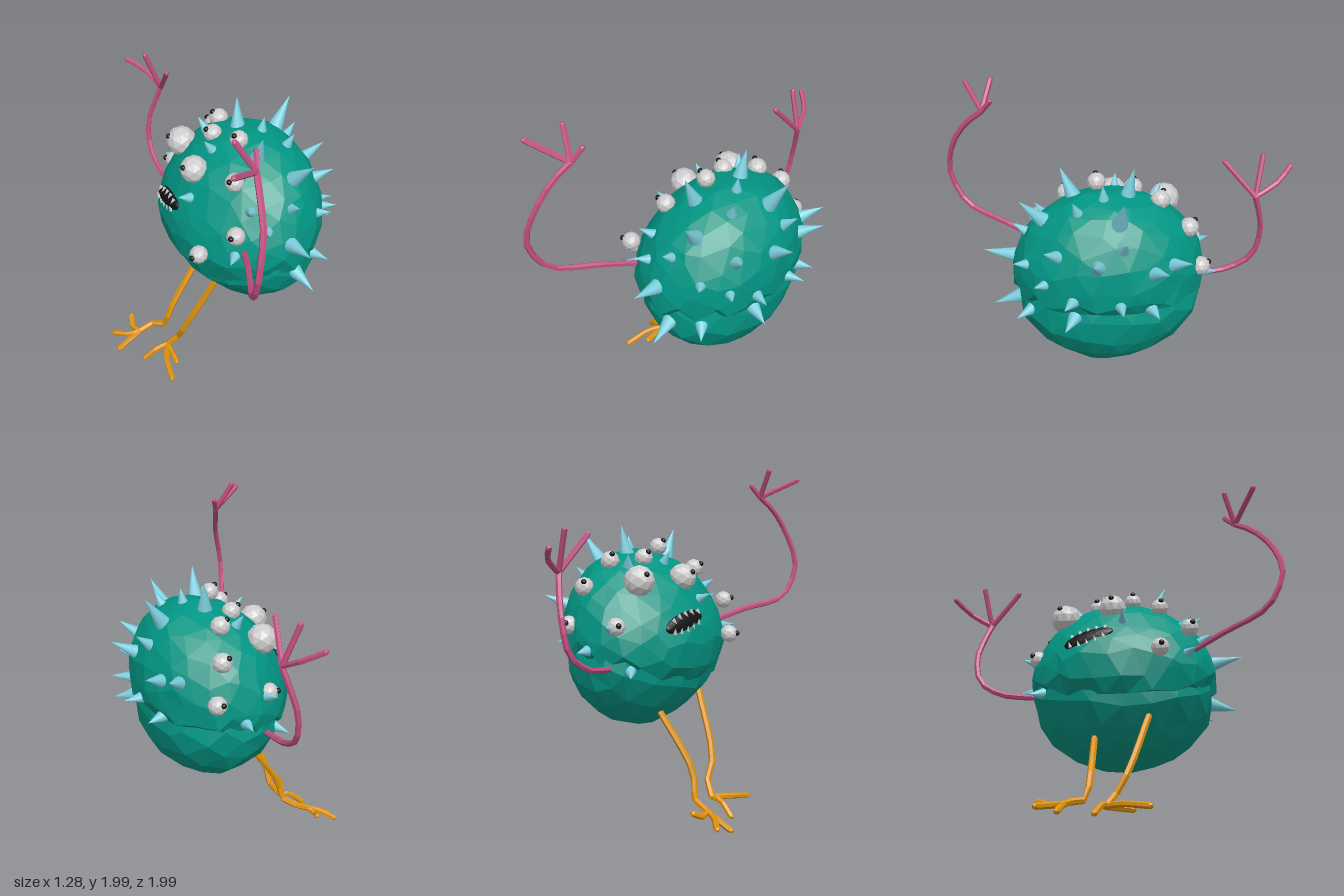
import * as THREE from 'three';

const V = (a) => new THREE.Vector3(...a);
const material = (color, flatShading = true) => new THREE.MeshStandardMaterial({ color, flatShading });
const teal = material(0x029684), blue = material(0x7ccfde, false), pink = material(0xc25080);
const orange = material(0xdd920c), grey = material(0xc4c4c4), black = material(0x151515);

// Body: an ellipsoid that leans to +x above and slightly below its middle
const centre = V([0.09, 1.0, 0.045]), radii = V([0.435, 0.515, 0.545]);
const lean = (y) => (y > 1 ? 0.15 * (y - 1) : 0.08 * (1 - y));
function unitAt(p) {
  const q = p.clone();
  q.x -= lean(q.y);
  return q.sub(centre).divide(radii).normalize();
}
function surfaceAt(p) {
  const q = unitAt(p).multiply(radii).add(centre);
  q.x += lean(q.y);
  return q;
}
function normalAt(p) {
  return unitAt(p).divide(radii).normalize();
}
function hash(v) {
  const s = Math.sin(Math.round(v.x * 99) * 12.99 + Math.round(v.y * 99) * 78.23 + Math.round(v.z * 99) * 37.72) * 43758.55;
  return s - Math.floor(s);
}

function add(parent, name, geometry, mat) {
  const mesh = new THREE.Mesh(geometry, mat);
  mesh.name = name;
  parent.add(mesh);
  return mesh;
}
function group(parent, name) {
  const g = new THREE.Group();
  g.name = name;
  parent.add(g);
  return g;
}
function cone(parent, name, base, tip, radius, sides, mat) {
  const d = tip.clone().sub(base), len = d.length();
  const geo = new THREE.ConeGeometry(radius, len, sides).translate(0, len / 2, 0);
  const mesh = add(parent, name, geo, mat);
  mesh.position.copy(base);
  mesh.quaternion.setFromUnitVectors(new THREE.Vector3(0, 1, 0), d.normalize());
}
// Bent rod with rounded ends
function rod(parent, name, points, radius, mat) {
  const pts = points.map(V);
  const curve = new THREE.CatmullRomCurve3(pts, false, 'centripetal');
  add(parent, name, new THREE.TubeGeometry(curve, (pts.length - 1) * 2, radius, 6), mat);
  for (const p of [pts[0], pts[pts.length - 1]]) {
    add(parent, name + 'End', new THREE.IcosahedronGeometry(radius, 0), mat).position.copy(p);
  }
}
// Limb ending in several digits
function limb(parent, name, path, digits, radius, mat) {
  const g = group(parent, name);
  rod(g, name + 'Stem', path, radius, mat);
  digits.forEach((d) => rod(g, name + 'Digit', [path[path.length - 1], ...d], radius * 0.9, mat));
}

// Icosphere with uneven facets, shaped by a rule that gets (point, height over the crease, side weight)
function bodyPart(parent, name, detail, rule) {
  const geo = new THREE.IcosahedronGeometry(1, detail), pos = geo.attributes.position;
  const u = new THREE.Vector3();
  for (let i = 0; i < pos.count; i++) {
    u.fromBufferAttribute(pos, i);
    const h = hash(u);
    u.add(V([Math.sin(h * 40), Math.sin(h * 57 + 1), Math.sin(h * 73 + 2)]).multiplyScalar(0.05)).normalize();
    const p = u.clone().multiply(radii).multiplyScalar(0.997 + 0.025 * h);
    const crease = -0.07 + 0.2 * (p.x - 0.36) + 0.06 * Math.abs(p.z);
    rule(p, p.y - crease, THREE.MathUtils.smoothstep(u.x, -0.6, 0.1));
    p.add(centre);
    pos.setXYZ(i, p.x + lean(p.y), p.y, p.z);
  }
  geo.computeVertexNormals();
  add(parent, name, geo, teal);
}

function makeBody(parent) {
  const g = group(parent, 'body');
  // upper half, whose underside closes along the crease
  bodyPart(g, 'upperBody', 4, (p, d) => {
    if (d < 0) {
      p.multiplyScalar(Math.max(0.1, 1 + 2 * d));
      p.y -= d * 0.55;
    }
  });
  // lower half, narrower and tucked in under the crease
  bodyPart(g, 'lowerBody', 3, (p, d, side) => {
    const near = THREE.MathUtils.smoothstep(d, -0.15, 0.02);
    const above = THREE.MathUtils.smoothstep(d, 0, 0.1);
    p.multiplyScalar(1.01 - 0.045 * near * side - 0.07 * above);
    p.x *= 0.95;
    p.z *= 1.015;
  });
}

// Spikes, listed by tip in three short batches
const spikeTips = [
  [
    [0.06, 1.13, 0.755], [0.14, 0.82, 0.71], [0.06, 1.63, 0.31], [0.17, 1.66, -0.09],
    [0.235, 1.51, 0.53], [0.49, 1.6, -0.02], [0.635, 1.32, 0.14], [0.63, 1.02, -0.01],
    [0.585, 0.9, 0.3], [0.51, 1.26, -0.38],
  ],
  [
    [0.59, 1.24, -0.25], [0.34, 0.85, 0.57], [0.32, 1.18, 0.54], [0.12, 1.3, 0.55],
    [-0.05, 1.2, 0.54], [-0.25, 1.05, 0.5], [0.49, 1.33, 0.4], [0.55, 1.4, -0.03],
    [0.59, 1.04, 0.3], [0.12, 0.98, -0.58], [0.53, 0.96, -0.2], [0.48, 1.12, 0.46],
  ],
  [
    [0.03, 1.5, -0.25], [-0.08, 1.5, 0], [-0.3, 1.27, 0.08], [-0.1, 1.3, 0.44],
    [0.24, 1.57, 0.08], [-0.1, 0.88, -0.38], [-0.03, 1.12, -0.52], [0.32, 1.52, 0.24],
  ],
];

// Eyes: position and radius
const eyeList = [
  [-0.085, 1.36, -0.28, 0.088], [-0.185, 1.365, 0.01, 0.08], [-0.045, 1.12, -0.445, 0.052],
  [0.21, 1.32, -0.39, 0.056], [0.27, 1.11, -0.455, 0.054], [0.145, 1.46, -0.235, 0.056],
  [0.01, 1.475, -0.095, 0.054], [0.045, 1.53, 0.11, 0.052], [-0.1, 1.4, 0.28, 0.054],
  [-0.34, 1.02, 0.29, 0.052], [-0.21, 1.2, 0.455, 0.052],
];

function makeMouth(parent) {
  const g = group(parent, 'mouth');
  const a = surfaceAt(V([-0.24, 1.09, -0.25])), b = surfaceAt(V([-0.33, 1.17, 0.03]));
  const mid = surfaceAt(a.clone().add(b).multiplyScalar(0.5));
  const along = b.clone().sub(a).normalize();
  const out = normalAt(mid);
  const up = out.clone().cross(along).normalize();
  out.crossVectors(along, up);
  g.position.copy(mid).addScaledVector(out, -0.014);
  g.quaternion.setFromRotationMatrix(new THREE.Matrix4().makeBasis(along, up, out));
  add(g, 'mouthOpening', new THREE.IcosahedronGeometry(1, 2), black).scale.set(0.15, 0.055, 0.03);
  // two rows of teeth
  for (const s of [-1, 1]) {
    for (let i = -2; i <= 2; i++) {
      const x = i * 0.05 + s * 0.01, y = s * 0.052 * Math.sqrt(1 - (x / 0.15) ** 2);
      cone(g, 'tooth', V([x, y, 0.015]), V([x, y - s * 0.03, 0.034]), 0.012, 5, grey);
    }
  }
}

export function createModel() {
  const model = new THREE.Group();
  model.name = 'spikyCreature';
  makeBody(model);

  const spikes = group(model, 'spikes');
  for (const t of spikeTips.flat().map(V)) {
    const base = surfaceAt(t), n = normalAt(t);
    // keep every spike at least a short stub
    const tip = t.clone().sub(base).dot(n) < 0.08 ? base.clone().addScaledVector(n, 0.085) : t;
    const len = tip.distanceTo(base);
    base.addScaledVector(n, -0.025);
    cone(spikes, 'spike', base, tip, 0.026 + 0.13 * len, 10, blue);
  }

  const eyes = group(model, 'eyes');
  for (const [x, y, z, r] of eyeList) {
    const p = V([x, y, z]);
    add(eyes, 'eyeball', new THREE.IcosahedronGeometry(r, 1), grey).position.copy(p);
    const look = normalAt(p).add(V([-0.7, 0.1, 0])).normalize();
    add(eyes, 'pupil', new THREE.IcosahedronGeometry(0.016, 1), black).position.copy(p).addScaledVector(look, r * 0.95);
  }
  makeMouth(model);

  // Arms
  limb(model, 'leftArm',
    [[-0.17, 1.08, 0.48], [-0.26, 1.13, 0.64], [-0.41, 1.2, 0.885], [-0.45, 1.37, 0.975], [-0.44, 1.46, 0.975],
      [-0.39, 1.62, 0.925], [-0.35, 1.74, 0.84], [-0.305, 1.82, 0.745]],
    [[[-0.39, 1.98, 0.69]], [[-0.505, 1.925, 0.85]], [[-0.27, 1.89, 0.69]]], 0.017, pink);
  limb(model, 'rightArm',
    [[-0.02, 0.89, -0.48], [-0.025, 0.915, -0.66], [-0.01, 1.01, -0.8], [0.01, 1.18, -0.835],
      [0.045, 1.315, -0.81], [0.075, 1.43, -0.775]],
    [[[0, 1.65, -0.815]], [[0.04, 1.5, -0.9], [-0.04, 1.565, -0.985]], [[0.02, 1.62, -0.6]]], 0.017, pink);

  // Legs
  limb(model, 'leftLeg',
    [[-0.18, 0.68, 0.21], [-0.34, 0.3, 0.105], [-0.345, 0.18, 0.04], [-0.4, 0.105, 0]],
    [[[-0.46, 0.1, -0.01], [-0.545, 0.03, -0.04]], [[-0.46, 0.1, 0.08], [-0.51, 0.07, 0.23]],
      [[-0.42, 0.08, 0.14]]], 0.019, orange);
  limb(model, 'rightLeg',
    [[-0.1, 0.6, -0.1], [-0.325, 0.27, -0.095], [-0.345, 0.165, -0.11], [-0.39, 0.14, -0.18], [-0.48, 0.1, -0.205]],
    [[[-0.635, 0.02, -0.21]], [[-0.54, 0.08, -0.23], [-0.61, 0.055, -0.32]],
      [[-0.5, 0.09, -0.27], [-0.47, 0.12, -0.335]]], 0.019, orange);
  return model;
}
